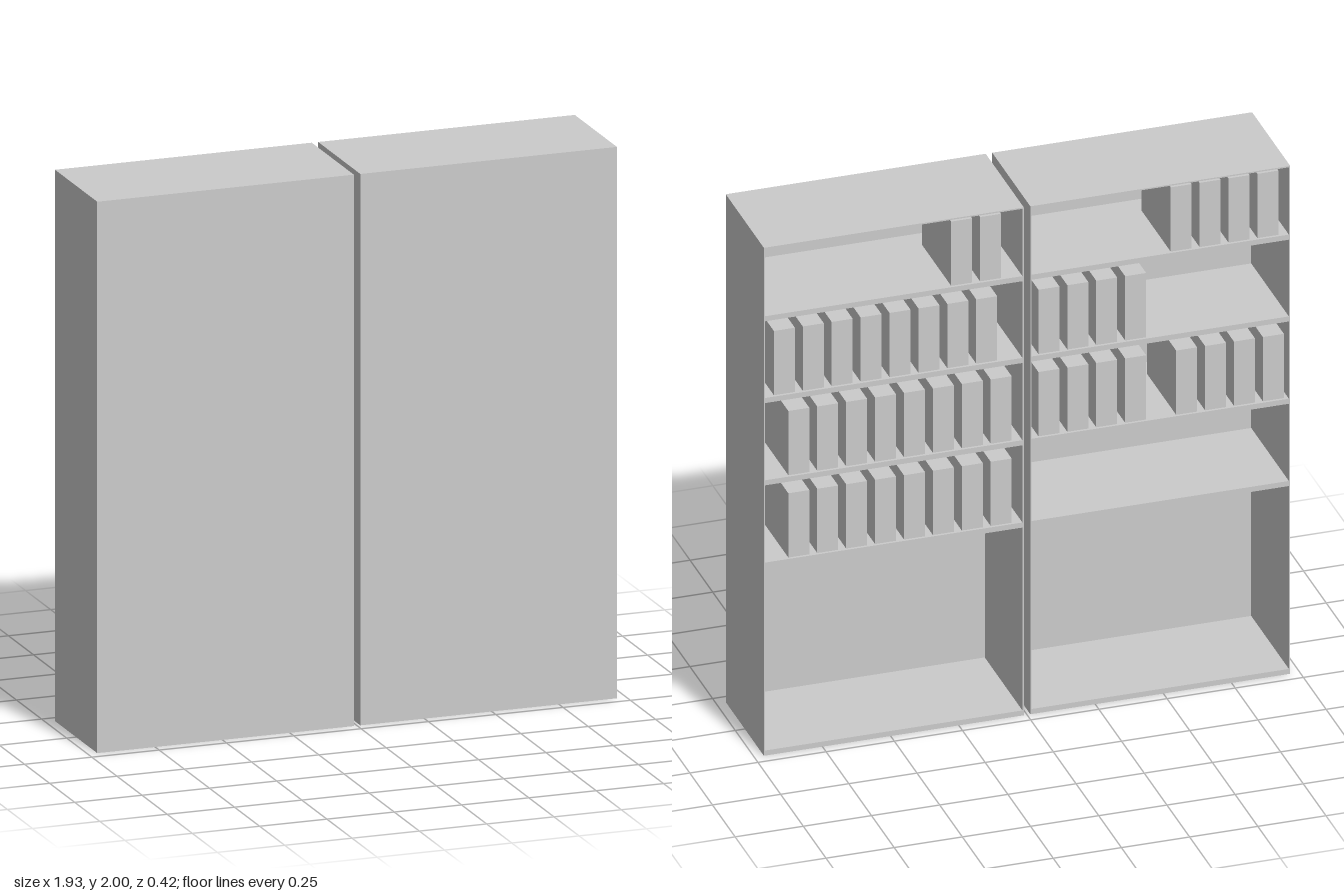
import * as THREE from 'three';

const material = new THREE.MeshStandardMaterial({ color: 0xcccccc, flatShading: true });

// Box given by its min and max corners
function block(name, [x0, y0, z0], [x1, y1, z1]) {
  const mesh = new THREE.Mesh(new THREE.BoxGeometry(x1 - x0, y1 - y0, z1 - z0), material);
  mesh.name = name;
  mesh.position.set((x0 + x1) / 2, (y0 + y1) / 2, (z0 + z1) / 2);
  return mesh;
}

const INNER = 0.012, OUTER = 0.965, HEIGHT = 2, DEPTH = 0.21;
const WALL = 0.005, BOARD = 0.02;
const SHELF_TOPS = [1.73, 1.408, 1.084, 0.76];
const BINDER = { width: 0.077, height: 0.253, depth: 0.32, pitch: 0.106 };

// Thin-walled cabinet, open towards -z, with a thicker base and four shelves
function cabinet(name, x0, x1) {
  const group = new THREE.Group();
  group.name = name;
  group.add(
    block('sidePanel', [x0, 0, -DEPTH], [x0 + WALL, HEIGHT, DEPTH]),
    block('sidePanel', [x1 - WALL, 0, -DEPTH], [x1, HEIGHT, DEPTH]),
    block('largePanel', [x0 + WALL, 0, DEPTH - WALL], [x1 - WALL, HEIGHT, DEPTH]),
    block('topPanel', [x0 + WALL, HEIGHT - WALL, -DEPTH], [x1 - WALL, HEIGHT, DEPTH - WALL]),
    block('basePanel', [x0 + WALL, 0, -DEPTH], [x1 - WALL, BOARD, DEPTH - WALL])
  );
  for (const top of SHELF_TOPS) {
    group.add(block('shelf', [x0 + WALL, top - BOARD, -DEPTH], [x1 - WALL, top, DEPTH - WALL]));
  }
  return group;
}

// Evenly spaced binders, running from startX towards -x
function binderRow(shelf, startX, count) {
  const group = new THREE.Group();
  group.name = 'binderRow';
  const y = SHELF_TOPS[shelf], z = -DEPTH + 0.01;
  for (let i = 0; i < count; i++) {
    const x = startX - i * BINDER.pitch;
    group.add(block('binder', [x - BINDER.width, y, z], [x, y + BINDER.height, z + BINDER.depth]));
  }
  return group;
}

export function createModel() {
  const model = new THREE.Group();
  model.name = 'bookcasePair';

  const left = cabinet('leftCabinet', INNER, OUTER);
  left.add(binderRow(0, 0.275, 2), binderRow(1, 0.925, 8), binderRow(2, 0.872, 8), binderRow(3, 0.872, 8));

  const right = cabinet('rightCabinet', -OUTER, -INNER);
  right.add(binderRow(0, -0.53, 4), binderRow(1, -0.045, 4), binderRow(2, -0.045, 4), binderRow(2, -0.55, 4));

  model.add(left, right);
  return model;
}
